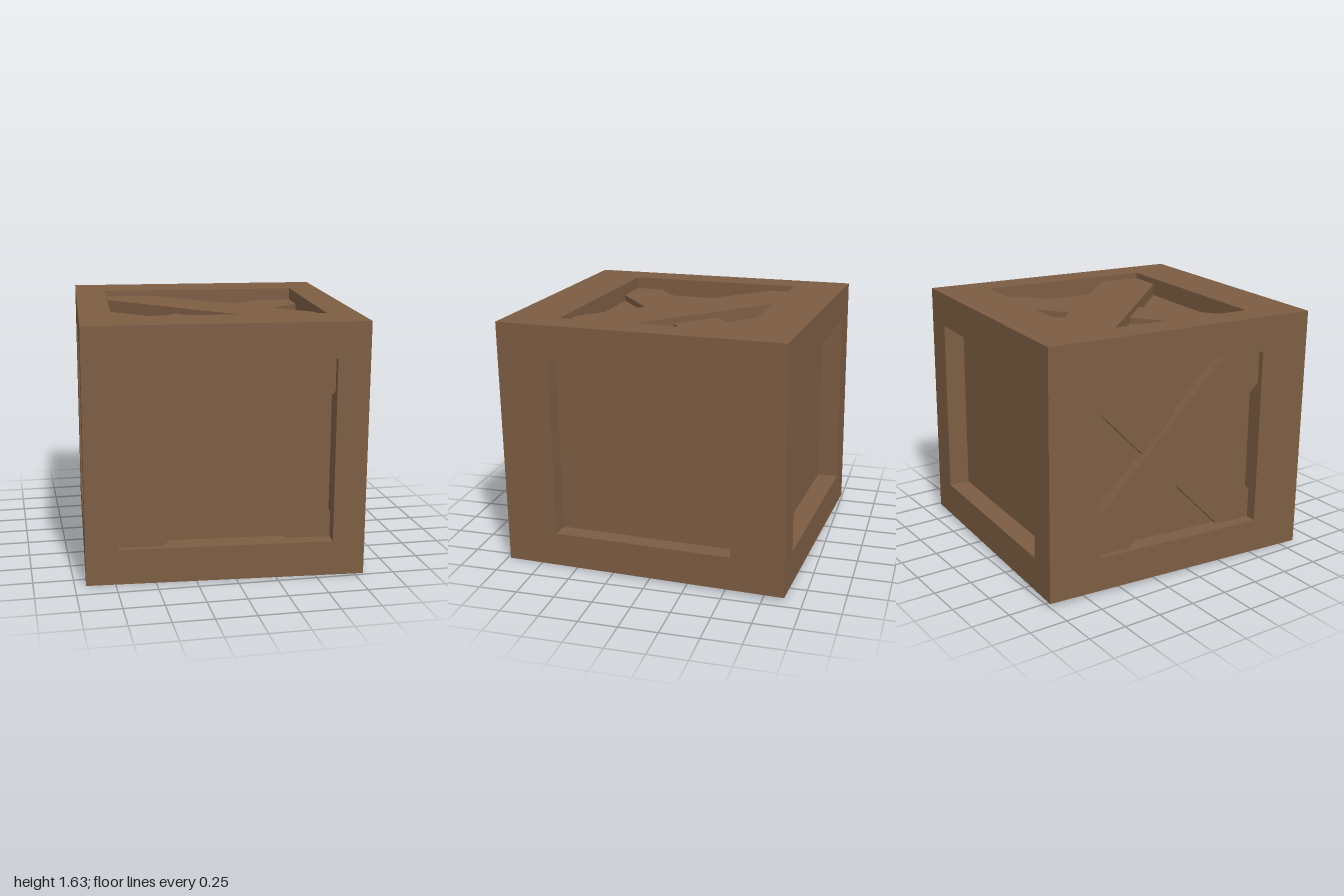
import * as THREE from 'three';

const W = 1.744, H = 1.61, D = 1.868;          // outer size of the crate
const BX = 0.202, BY = 0.223, BZ = 0.345;      // frame border along each axis
const RX = 0.115, RY = 0.12, RZ = 0.138;       // recess depth along each axis

const wood = new THREE.MeshStandardMaterial({ color: 0x7d5d43 });
wood.name = 'brown wood';

function add(parent, name, geometry) {
  const mesh = new THREE.Mesh(geometry, wood);
  mesh.name = name;
  parent.add(mesh);
  return mesh;
}

const points = (list) => list.map(([x, y]) => new THREE.Vector2(x, y));
const rect = (w, h) => points([[-w, -h], [w, -h], [w, h], [-w, h]].map(([x, y]) => [x / 2, y / 2]));

// Diagonal board clipped by the opening; cuts are its corner offsets at both ends
function addBrace(parent, name, w, h, back, front, cuts, flip) {
  const [a, b, c, d] = cuts, u = w / 2, v = h / 2, s = flip ? -1 : 1;
  const outline = [[-u, -v], [-u + a, -v], [u, v - d], [u, v], [u - c, v], [-u, -v + b]];
  const shape = new THREE.Shape(points(outline.map(([x, y]) => [s * x, y])));
  const geometry = new THREE.ExtrudeGeometry(shape, { depth: front - back, bevelEnabled: false });
  add(parent, name, geometry.translate(0, 0, back));
}

// One side of the crate: flat border, recess walls and optional crossed braces
function addSide(parent, name, w, h, bw, bh, depth, upper, lower, flip) {
  const side = new THREE.Group();
  side.name = name;
  parent.add(side);
  const ow = w - 2 * bw, oh = h - 2 * bh;

  const border = new THREE.Shape(rect(w, h));
  border.holes.push(new THREE.Path(rect(ow, oh)));
  add(side, 'frameBorder', new THREE.ShapeGeometry(border));
  add(side, 'panel', new THREE.PlaneGeometry(ow, oh)).position.z = -depth;

  for (let k = 0; k < 4; k++) {
    const long = k % 2 ? oh : ow, reach = (k % 2 ? ow : oh) / 2;
    const wall = new THREE.PlaneGeometry(long, depth);
    wall.rotateX(-Math.PI / 2).translate(0, -reach, -depth / 2).rotateZ(k * Math.PI / 2);
    add(side, 'recessWall', wall);
  }

  if (upper) {
    addBrace(side, 'upperBrace', ow, oh, -depth, -depth / 3, upper, flip);
    addBrace(side, 'lowerBrace', ow, oh, -depth, -depth * 2 / 3, lower, !flip);
  }
  return side;
}

export function createModel() {
  const model = new THREE.Group();
  model.name = 'crate';
  const body = new THREE.Group();
  body.name = 'crateBody';
  model.add(body);

  const cutsA = [0.28, 0.165, 0.24, 0.215], cutsB = [0.28, 0.165, 0.26, 0.218];

  const front = addSide(body, 'frontSide', W, H, BX, BY, RZ, cutsA, cutsB, false);
  front.position.z = D / 2;

  const back = addSide(body, 'backSide', W, H, BX, BY, RZ);
  back.position.z = -D / 2;
  back.rotation.y = Math.PI;

  const left = addSide(body, 'leftSide', D, H, BZ, BY, RX);
  left.position.x = W / 2;
  left.rotation.y = Math.PI / 2;

  const right = addSide(body, 'rightSide', D, H, BZ, BY, RX,
    [0.23, 0.24, 0.27, 0.22], [0.25, 0.2, 0.25, 0.22], false);
  right.position.x = -W / 2;
  right.rotation.y = -Math.PI / 2;

  const top = addSide(body, 'topSide', W, D, BX, BZ, RY,
    [0.24, 0.295, 0.355, 0.17], [0.255, 0.185, 0.23, 0.23], true);
  top.position.y = H / 2;
  top.rotation.x = -Math.PI / 2;

  const bottom = add(body, 'bottom', new THREE.PlaneGeometry(W, D));
  bottom.position.y = -H / 2;
  bottom.rotation.x = Math.PI / 2;

  // The crate rests slightly turned and tilted
  body.rotation.set(0.012, -0.066, 0);
  body.position.y = 0.817;
  return model;
}
